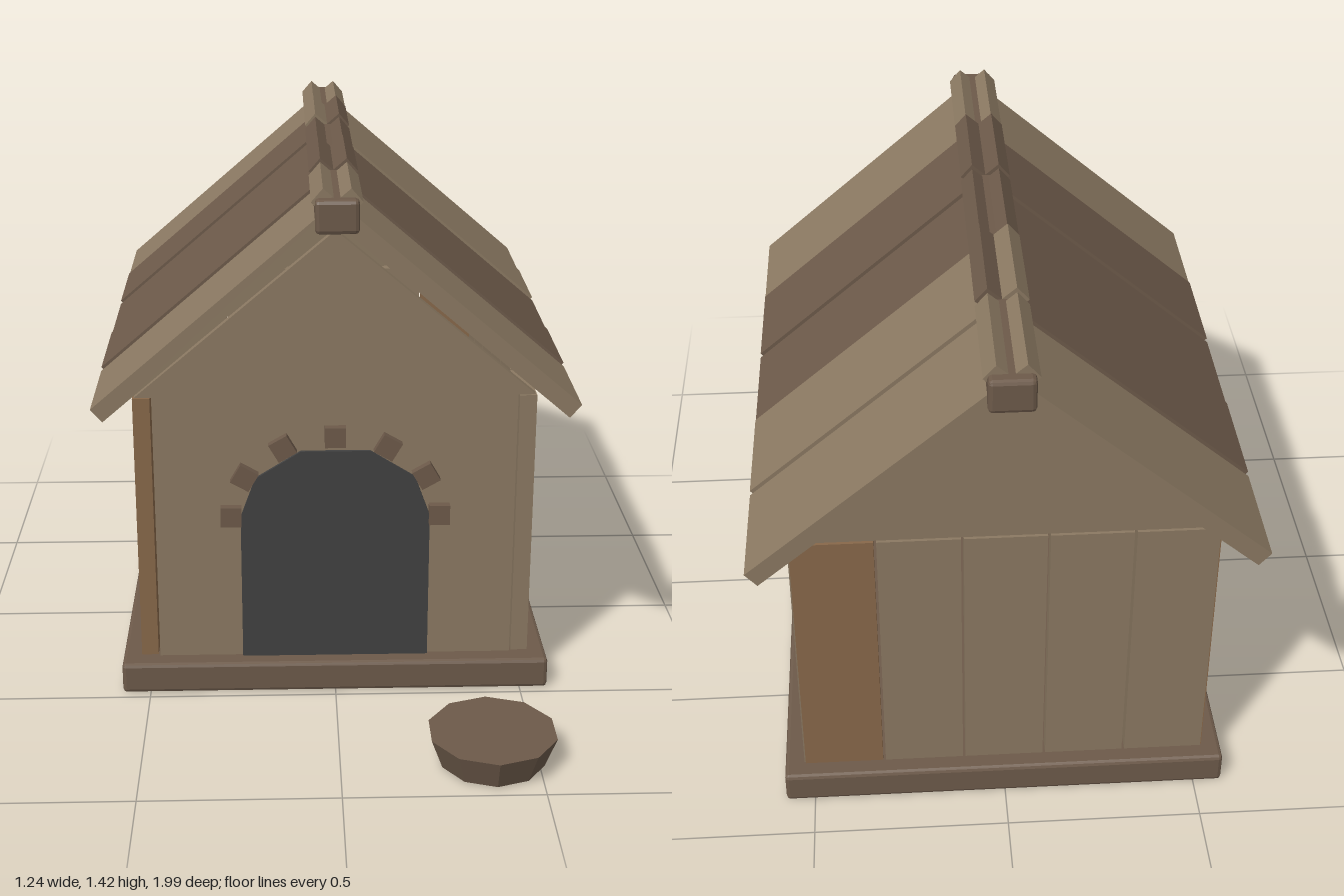
import * as THREE from 'three';
import { RoundedBoxGeometry } from 'three/addons/geometries/RoundedBoxGeometry.js';

const paint = (name, color) => {
  const m = new THREE.MeshStandardMaterial({ color });
  m.name = name;
  return m;
};

// Faceted normals for low-poly parts
function faceted(geometry) {
  const g = geometry.index ? geometry.toNonIndexed() : geometry;
  g.computeVertexNormals();
  return g;
}

// Flat plate cut from an outline, its back at z = 0
function plate(points, depth) {
  const shape = new THREE.Shape(points.map(([x, y]) => new THREE.Vector2(x, y)));
  return new THREE.ExtrudeGeometry(shape, { depth, bevelEnabled: false });
}

export function createModel() {
  const house = new THREE.Group();
  house.name = 'doghouse';
  const tan = paint('tan wood', 0x8b7962);
  const brown = paint('dark brown wood', 0x6d5a4a);
  const orange = paint('orange wood', 0x88684a);
  const charcoal = paint('doorway charcoal', 0x414141);

  const add = (name, geometry, material, x, y, z, rotZ = 0) => {
    const mesh = new THREE.Mesh(geometry, material);
    mesh.name = name;
    mesh.position.set(x, y, z);
    mesh.rotation.z = rotZ;
    house.add(mesh);
    return mesh;
  };
  const midZ = -0.205;

  // Base slab and ridge beam with chamfered edges
  add('base', faceted(new RoundedBoxGeometry(1.15, 0.085, 1.365, 1, 0.01)), brown, 0, 0.0425, midZ);
  add('ridgeBeam', faceted(new RoundedBoxGeometry(0.108, 0.085, 1.58, 1, 0.01)), brown, 0, 1.342, midZ);

  // Side wall boards, with the end boards of the right wall in orange
  const sideBoard = new THREE.BoxGeometry(0.045, 0.74, 0.201);
  for (let i = 0; i < 6; i++) {
    const z = 0.318 - 0.2105 * i;
    add('leftWallBoard', sideBoard, tan, 0.5025, 0.455, z);
    add('rightWallBoard', sideBoard, i % 5 === 0 ? orange : tan, -0.5025, 0.455, z);
  }

  // Back wall boards
  const backBoard = new THREE.BoxGeometry(0.203, 0.74, 0.04);
  for (let i = 0; i < 5; i++) {
    add('backWallBoard', backBoard, i === 0 ? orange : tan, 0.42 - 0.21 * i, 0.455, -0.82);
  }

  // Front wall with gable, and back gable
  add('frontWall', plate([[-0.475, 0.085], [0.475, 0.085], [0.475, 0.83], [0.52, 0.83],
    [0, 1.27], [-0.52, 0.83], [-0.475, 0.83]], 0.025), tan, 0, 0, 0.4);
  add('backGable', plate([[-0.52, 0.83], [0.52, 0.83], [0, 1.27]], 0.025), tan, 0, 0, -0.838);

  // Doorway
  add('doorway', plate([[-0.25, 0.085], [0.25, 0.085], [0.25, 0.495], [0.21, 0.605],
    [0.09, 0.68], [-0.09, 0.68], [-0.21, 0.605], [-0.25, 0.495]], 0.009), charcoal, 0, 0, 0.425);

  // Arch blocks around the doorway
  const block = new THREE.BoxGeometry(0.055, 0.055, 0.025);
  for (let i = 0; i < 7; i++) {
    const a = (i * Math.PI) / 6;
    add('archBlock', block, brown, 0.275 * Math.cos(a), 0.5 + 0.222 * Math.sin(a), 0.435, a);
  }

  // Roof planks; alternate rows sit slightly higher
  const plank = new THREE.BoxGeometry(0.86, 0.045, 0.298);
  const pitch = Math.atan2(0.56, 0.652);
  const leftColors = [tan, brown, brown, tan, tan];
  const rightColors = [tan, brown, brown, brown, tan];
  for (let i = 0; i < 5; i++) {
    const z = 0.405 - 0.305 * i;
    const y = 1.11 + (i % 2) * 0.008;
    add('leftRoofPlank', plank, leftColors[i], 0.277, y, z, -pitch);
    add('rightRoofPlank', plank, rightColors[i], -0.277, y, z, pitch);
  }

  // Food bowl
  add('bowl', faceted(new THREE.CylinderGeometry(0.165, 0.135, 0.08, 10)), brown, 0.383, 0.043, 0.833);

  return house;
}
